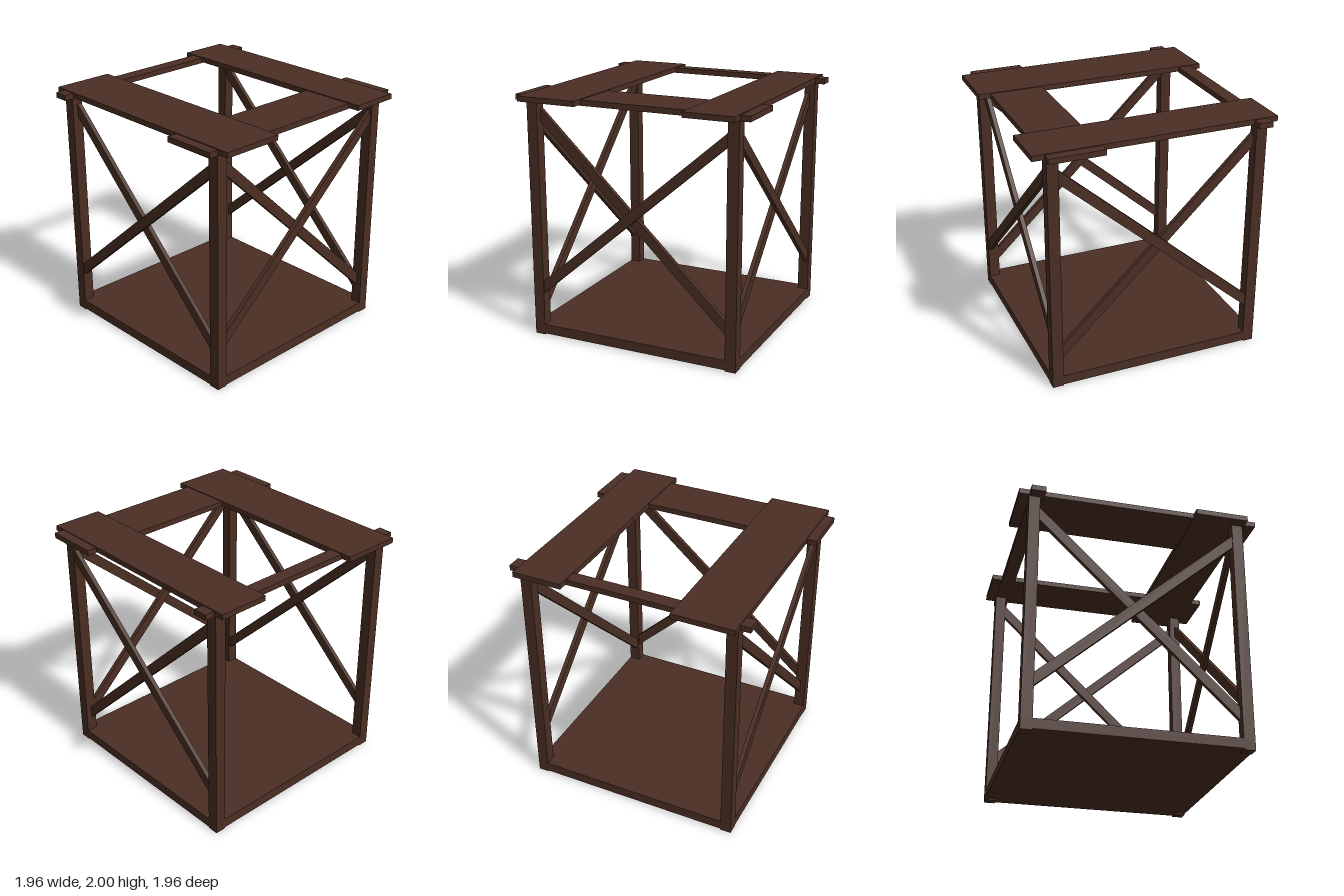
import * as THREE from 'three';

export function createModel() {
  const model = new THREE.Group();
  model.name = 'woodenFrame';
  const wood = new THREE.MeshStandardMaterial({ color: 0x4a2e23 });

  // Box given by its minimum and maximum corners
  function block(name, [x0, y0, z0], [x1, y1, z1]) {
    const mesh = new THREE.Mesh(new THREE.BoxGeometry(x1 - x0, y1 - y0, z1 - z0), wood);
    mesh.name = name;
    mesh.position.set((x0 + x1) / 2, (y0 + y1) / 2, (z0 + z1) / 2);
    model.add(mesh);
  }

  // Flat diagonal board in the local xy plane, from (a, ya) to (b, yb)
  function brace(parent, name, a, ya, b, yb, z) {
    const length = Math.hypot(b - a, yb - ya) + 0.06;
    const mesh = new THREE.Mesh(new THREE.BoxGeometry(length, 0.08, 0.036), wood);
    mesh.name = name;
    mesh.position.set((a + b) / 2, (ya + yb) / 2, z);
    mesh.rotation.z = Math.atan2(yb - ya, b - a);
    parent.add(mesh);
  }

  // Floor slab
  block('floor', [-0.9, 0.01, -0.89], [0.87, 0.09, 0.89]);

  // Corner posts
  for (const [side, x] of [['right', -0.9], ['left', 0.78]])
    for (const [end, z] of [['Front', 0.8], ['Back', -0.89]])
      block(side + end + 'Post', [x, 0, z], [x + 0.09, 1.955, z + 0.09]);

  // Top boards: two across the width, two slightly lower along the depth
  block('frontTopBoard', [-0.98, 1.957, 0.4], [0.98, 2, 0.9]);
  block('backTopBoard', [-0.98, 1.957, -0.9], [0.98, 2, -0.49]);
  block('leftTopBoard', [0.45, 1.95, -0.98], [0.885, 1.994, 0.98]);
  block('rightTopBoard', [-0.895, 1.95, -0.98], [-0.78, 1.994, 0.98]);

  // Crossed braces on the front, back and left side; the right side is open
  const faces = [
    { name: 'front', turn: 0, z: 0.845, a: -0.81, b: 0.78, falling: [1.835, 0.305], rising: [0.4, 1.795] },
    { name: 'back', turn: 0, z: -0.845, a: -0.81, b: 0.78, falling: [1.81, 0.27], rising: [0.4, 1.795] },
    { name: 'left', turn: Math.PI / 2, z: 0.825, a: -0.8, b: 0.8, falling: [1.835, 0.315], rising: [0.415, 1.8] },
  ];
  for (const f of faces) {
    const group = new THREE.Group();
    group.name = f.name + 'Braces';
    group.rotation.y = f.turn;
    const out = Math.sign(f.z) * 0.018;
    brace(group, f.name + 'FallingBrace', f.a, f.falling[0], f.b, f.falling[1], f.z - out);
    brace(group, f.name + 'RisingBrace', f.a, f.rising[0], f.b, f.rising[1], f.z + out);
    model.add(group);
  }

  return model;
}
